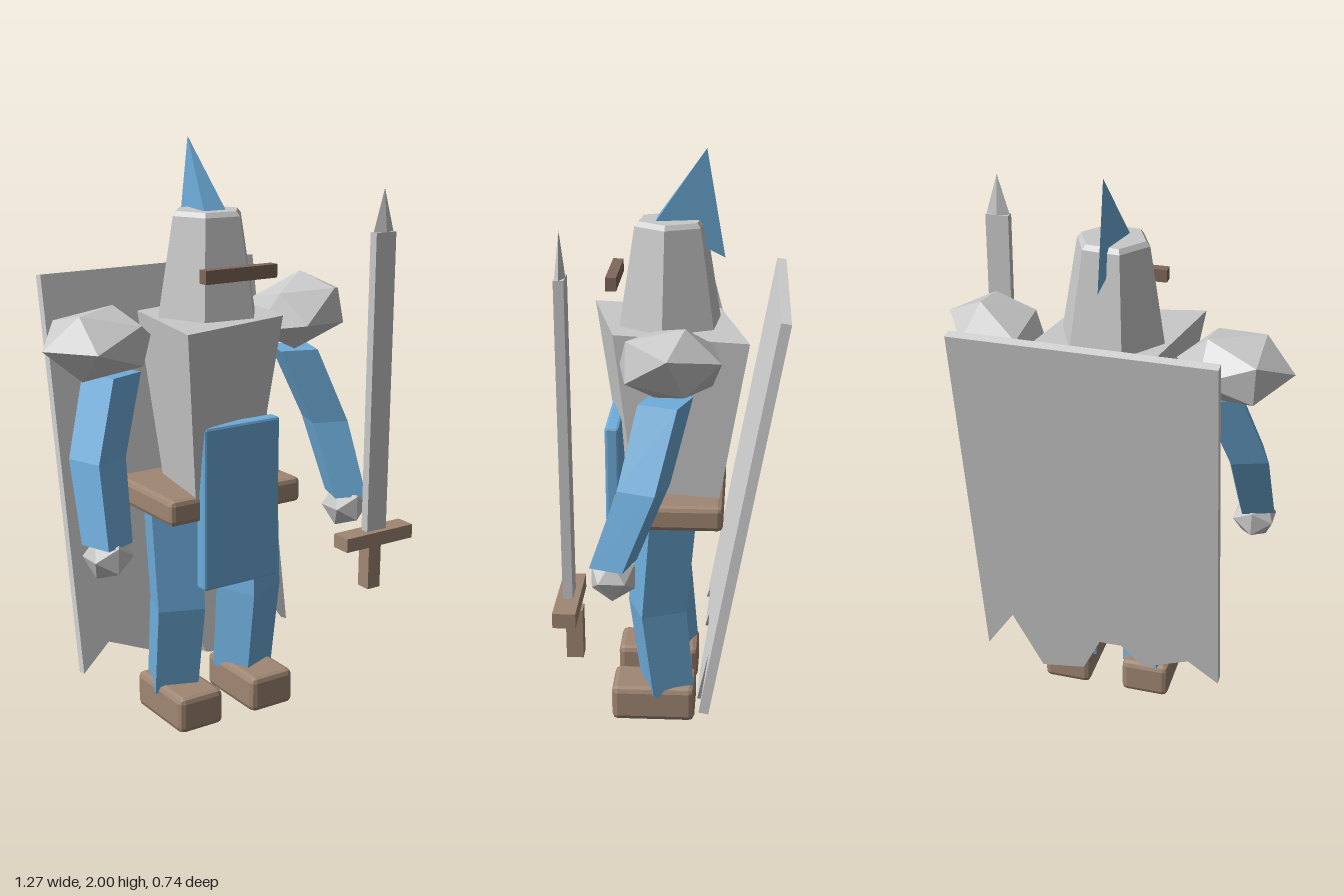
import * as THREE from 'three';
import { RoundedBoxGeometry } from 'three/addons/geometries/RoundedBoxGeometry.js';

const CX = -0.02; // symmetry axis of the body

function paint(name, color, extra = {}) {
  const m = new THREE.MeshStandardMaterial({ color, flatShading: true, ...extra });
  m.name = name;
  return m;
}

// Closed prism through rings of [x, y, z] corners, listed bottom to top.
function loft(rings) {
  const pos = [];
  const n = rings[0].length;
  const tri = (a, b, c) => pos.push(...a, ...b, ...c);
  for (let r = 0; r < rings.length - 1; r++) {
    for (let i = 0; i < n; i++) {
      const j = (i + 1) % n, lo = rings[r], hi = rings[r + 1];
      tri(lo[i], lo[j], hi[j]);
      tri(lo[i], hi[j], hi[i]);
    }
  }
  const bottom = rings[0], top = rings[rings.length - 1];
  for (let i = 1; i < n - 1; i++) {
    tri(bottom[0], bottom[i + 1], bottom[i]);
    tri(top[0], top[i], top[i + 1]);
  }
  const g = new THREE.BufferGeometry();
  g.setAttribute('position', new THREE.Float32BufferAttribute(pos, 3));
  g.computeVertexNormals();
  return g;
}

// Bent square limb, turned about its length; stations are [x, y, z, half diagonal].
function limb(stations, side, turn) {
  return loft(stations.map(([x, y, z, r]) => [0, 1, 2, 3].map((k) => {
    const a = k * Math.PI / 2 + side * turn;
    return [side * x + Math.sin(a) * r, y, z + Math.cos(a) * r];
  })));
}

export function createModel() {
  const steel = paint('steel', 0xc9c9c9);
  const cloakGrey = paint('cloakGrey', 0xd4d4d4);
  const blue = paint('blueCloth', 0x6eaddb);
  const leather = paint('leather', 0xa08773);
  const darkLeather = paint('darkLeather', 0x80685a);

  const model = new THREE.Group();
  const body = new THREE.Group();
  body.name = 'body';
  body.position.x = CX;
  model.add(body);

  const add = (parent, name, geo, mat, x = 0, y = 0, z = 0) => {
    const m = new THREE.Mesh(geo, mat);
    m.name = name;
    m.position.set(x, y, z);
    parent.add(m);
    return m;
  };
  const box = (w, h, d) => new THREE.BoxGeometry(w, h, d);
  const soft = (w, h, d, r) => new RoundedBoxGeometry(w, h, d, 1, r);

  // Torso: skewed block tapering to the waist
  const chest = [[-0.257, 0.276], [0.185, 0.173], [0.267, -0.277], [-0.176, -0.173]];
  const torsoRing = (y, s) => chest.map(([x, z]) => [x * s, y, 0.037 + z * s]);
  add(body, 'torso', loft([torsoRing(0.78, 0.62), torsoRing(1.42, 1)]), steel);

  // Belt and tabard
  add(body, 'belt', soft(0.53, 0.09, 0.38, 0.018), leather, 0, 0.8, 0.03);
  add(body, 'tabard', soft(0.305, 0.57, 0.05, 0.01), blue, 0, 0.8, 0.222);

  // Helmet: six-sided with a bevelled crown
  const helmetProfile = [[0, 1.4], [0.187, 1.4], [0.127, 1.752], [0.113, 1.768], [0, 1.768]]
    .map(([x, y]) => new THREE.Vector2(x, y));
  const helmet = add(body, 'helmet', new THREE.LatheGeometry(helmetProfile, 6), steel, 0, 0, 0.03);
  helmet.rotation.y = Math.PI / 6 - 0.1;
  add(body, 'visorBar', box(0.28, 0.045, 0.036), darkLeather, 0, 1.578, 0.218);

  // Plume: a wedge swept to the back
  const fl = [-0.043, 1.765, 0.078], fr = [0.043, 1.765, 0.078];
  const tip = [0, 2, -0.09], tail = [0, 1.64, -0.153];
  const plume = new THREE.BufferGeometry();
  plume.setAttribute('position', new THREE.Float32BufferAttribute([
    ...fl, ...fr, ...tip, ...fr, ...tail, ...tip,
    ...tail, ...fl, ...tip, ...fl, ...tail, ...fr], 3));
  plume.computeVertexNormals();
  add(body, 'plume', plume, blue);

  // Shoulder plates: faceted balls with a point on the x axis
  const plate = new THREE.IcosahedronGeometry(1, 0).rotateY(Math.atan(2 / (1 + Math.sqrt(5))));

  for (const side of [-1, 1]) {
    const label = side > 0 ? 'left' : 'right';

    add(body, label + 'Leg', limb([
      [0.15, 0.1, 0.035, 0.107], [0.15, 0.42, 0.07, 0.115], [0.155, 0.8, 0.038, 0.118],
    ], side, -0.42), blue);
    add(body, label + 'Boot', soft(0.176, 0.13, 0.295, 0.02), leather, side * 0.15, 0.065, 0.083);

    add(body, label + 'Arm', limb([
      [0.49, 0.74, 0.19, 0.082], [0.465, 1.0, 0.09, 0.092], [0.37, 1.26, 0.025, 0.096],
    ], side, 0.45), blue);
    add(body, label + 'Hand', new THREE.IcosahedronGeometry(0.083, 0), steel, side * 0.488, 0.698, 0.19);

    const pad = add(body, label + 'ShoulderPlate', plate, steel,
      side > 0 ? 0.395 : -0.42, side > 0 ? 1.39 : 1.363, side > 0 ? 0.01 : 0.025);
    pad.scale.set(side > 0 ? 0.19 : 0.2, 0.125, 0.185);
    pad.rotation.z = side > 0 ? 0.32 : 0.03;
  }

  // Cloak: leaning panel with a torn hem
  const lean = 0.177, length = 1 / Math.cos(lean);
  const outline = [[-0.44, 1.54], [-0.44, 0.16], [-0.33, 0.25], [-0.16, 0.18], [-0.08, 0.27],
    [0, 0.27], [0.07, 0.12], [0.23, 0.095], [0.33, 0.333], [0.44, 0.165], [0.44, 1.54]];
  const cloakShape = new THREE.Shape(outline.map(([x, y]) => new THREE.Vector2(x, y * length)));
  const cloakGeo = new THREE.ExtrudeGeometry(cloakShape, { depth: 0.034, bevelEnabled: false });
  const cloak = add(body, 'cloak', cloakGeo.translate(0, 0, -0.034), cloakGrey, 0, 0, -0.058);
  cloak.rotation.x = -lean;

  // Sword, held upright beside the left hand
  const sword = new THREE.Group();
  sword.name = 'sword';
  sword.position.set(0.487, 0, 0.332);
  model.add(sword);
  add(sword, 'blade', box(0.085, 1.06, 0.032), steel, 0, 1.16, 0);
  const point = add(sword, 'bladeTip', new THREE.ConeGeometry(1, 0.145, 4), steel, 0, 1.7625, 0);
  point.scale.set(0.043, 1, 0.017);
  add(sword, 'guard', box(0.295, 0.05, 0.074), leather, 0, 0.615, 0);
  add(sword, 'grip', box(0.054, 0.17, 0.055), leather, 0, 0.505, -0.017);

  return model;
}
